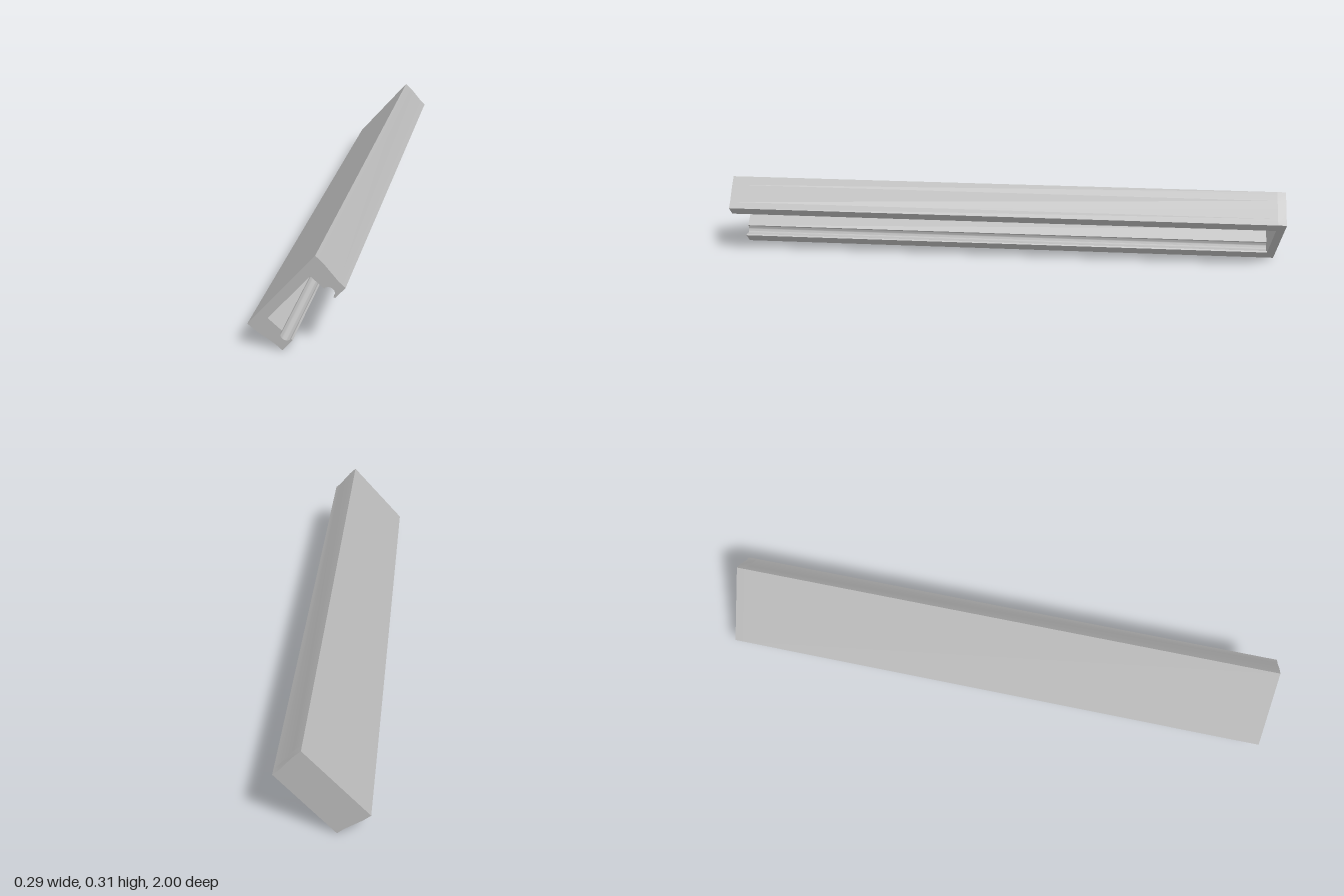
import * as THREE from 'three';
import { toCreasedNormals } from 'three/addons/utils/BufferGeometryUtils.js';

const pts = (list) => list.map(([x, y]) => new THREE.Vector2(x, y));

// Half-round groove points, counter-clockwise between two angles in degrees
function groove(cx, cy, r, from, to, steps = 16) {
  const out = [];
  for (let i = 0; i <= steps; i++) {
    const a = THREE.MathUtils.degToRad(from + ((to - from) * i) / steps);
    out.push([cx + r * Math.cos(a), cy + r * Math.sin(a)]);
  }
  return out;
}

function extrude(outline, z0, z1, material, name) {
  const geo = new THREE.ExtrudeGeometry(new THREE.Shape(pts(outline)), { depth: z1 - z0, bevelEnabled: false });
  geo.translate(0, 0, z0);
  const mesh = new THREE.Mesh(toCreasedNormals(geo, 0.55), material);
  mesh.name = name;
  return mesh;
}

export function createModel() {
  const group = new THREE.Group();
  group.name = 'slottedRail';
  const grey = new THREE.MeshStandardMaterial({ color: 0xb8b8b8 });
  grey.name = 'grey';

  // Tilted outer section: flat back, and slightly concave short sides
  const upperSide = [[-0.145, 0.077], [0.058, 0.305], [0.083, 0.281], [0.125, 0.23], [0.144, 0.213]];
  const lowerSide = [[-0.043, 0], [-0.063, 0.018], [-0.12, 0.056]];

  // Slot with a round groove beside each lip
  const slot = [
    [0.114, 0.179],
    ...groove(0.0955, 0.194, 0.018, -42, 136),
    [0.043, 0.241],
    [-0.084, 0.1],
    ...groove(-0.03, 0.051, 0.018, 136, 321),
    [-0.012, 0.035],
  ];

  // Channel open at the front, closed by a plate at the back
  group.add(extrude([...upperSide, ...slot, ...lowerSide], -0.97, 1, grey, 'channel'));
  group.add(extrude([...upperSide, ...lowerSide], -1, -0.97, grey, 'endPlate'));
  return group;
}
